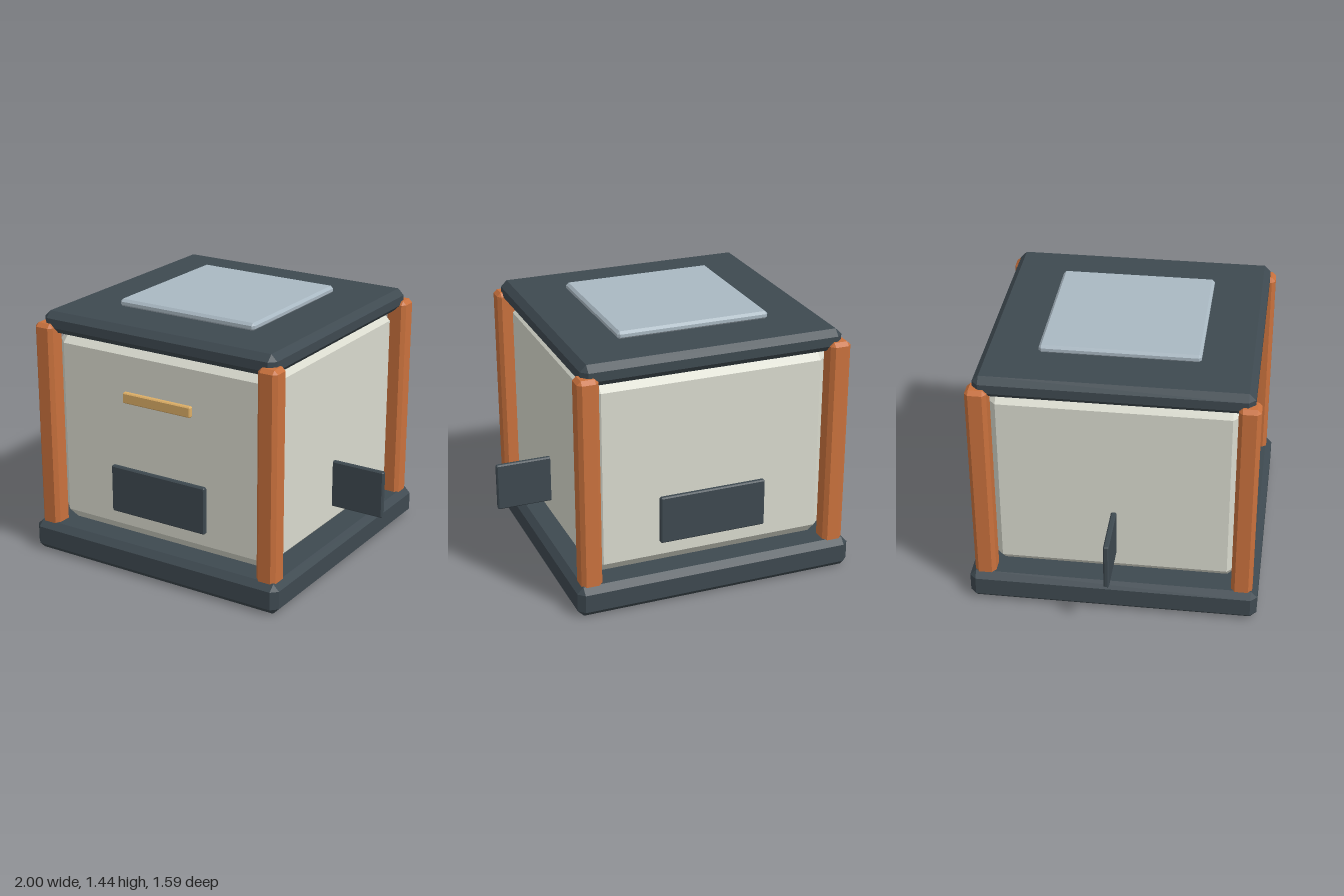
import * as THREE from 'three';
import { ConvexGeometry } from 'three/addons/geometries/ConvexGeometry.js';

const material = (color) => new THREE.MeshStandardMaterial({ color, flatShading: true });

// Box with every edge and corner cut by a flat chamfer c
function chamferBox(w, h, d, c) {
  const points = [];
  for (const sx of [-1, 1]) for (const sy of [-1, 1]) for (const sz of [-1, 1]) {
    const x = w / 2, y = h / 2, z = d / 2;
    points.push(
      new THREE.Vector3(sx * x, sy * (y - c), sz * (z - c)),
      new THREE.Vector3(sx * (x - c), sy * y, sz * (z - c)),
      new THREE.Vector3(sx * (x - c), sy * (y - c), sz * z));
  }
  return new ConvexGeometry(points);
}

export function createModel() {
  const model = new THREE.Group();
  model.name = 'cabin';

  const dark = material(0x3e4950);
  const wall = material(0xd9dace);
  const orange = material(0xc9713d);
  const glass = material(0xa9b8c2);
  const gold = material(0xdcae66);

  // Adds a chamfered box spanning y0 to y1
  function add(name, mat, w, d, y0, y1, c, x = 0, z = 0) {
    const mesh = new THREE.Mesh(chamferBox(w, y1 - y0, d, c), mat);
    mesh.name = name;
    mesh.position.set(x, (y0 + y1) / 2, z);
    model.add(mesh);
  }

  // Stacked main volumes
  add('base', dark, 1.59, 1.59, 0, 0.172, 0.035);
  add('body', wall, 1.38, 1.38, 0.172, 1.297, 0.07);
  add('roof', dark, 1.465, 1.465, 1.28, 1.4, 0.035);
  add('skylight', glass, 0.86, 0.86, 1.395, 1.44, 0.014);

  // Corner posts
  for (const sx of [-1, 1]) for (const sz of [-1, 1])
    add('cornerPost', orange, 0.116, 0.116, 0.14, 1.337, 0.021, sx * 0.707, sz * 0.707);

  // Plates on front and back, and fins through the sides
  for (const s of [-1, 1]) {
    add('wallPlate', dark, 0.605, 0.03, 0.317, 0.587, 0.007, 0, s * 0.7);
    add('sideFin', dark, 0.605, 0.03, 0.317, 0.587, 0.007, s * 0.6975, 0);
  }

  // Gold strip above the front plate
  add('frontStrip', gold, 0.433, 0.03, 0.965, 1.025, 0.006, 0, 0.7);

  return model;
}
